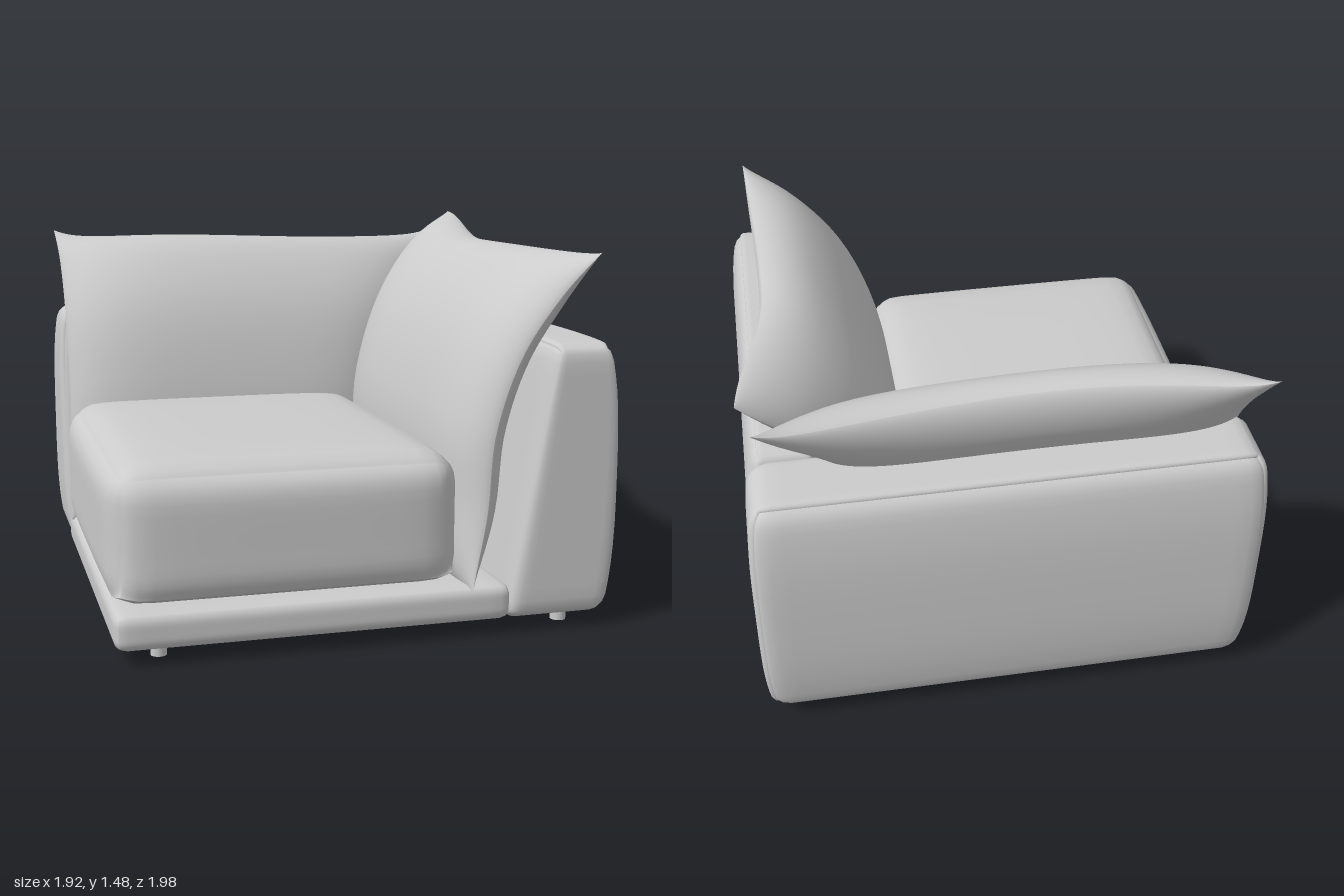
import * as THREE from 'three';
import { mergeVertices } from 'three/addons/utils/BufferGeometryUtils.js';

const material = new THREE.MeshStandardMaterial({ color: 0xcccccc, roughness: 0.9 });
const pillowMaterial = new THREE.MeshStandardMaterial({ color: 0xcccccc, roughness: 0.9, side: THREE.DoubleSide });
const smooth = THREE.MathUtils.smoothstep;

// Upholstered block with rounded edges; shape(p, u, size) adjusts each vertex, u in -1..1
function softBlock(name, min, max, radius, shape, n = 18) {
  const half = max.map((m, i) => (m - min[i]) / 2);
  const mid = max.map((m, i) => (m + min[i]) / 2);
  let geo = new THREE.BoxGeometry(2, 2, 2, n, n, n);
  geo.deleteAttribute('normal');
  geo.deleteAttribute('uv');
  geo = mergeVertices(geo, 1e-4);
  const pos = geo.attributes.position;
  const p = new THREE.Vector3(), core = new THREE.Vector3(), u = new THREE.Vector3();
  for (let i = 0; i < pos.count; i++) {
    u.fromBufferAttribute(pos, i);
    // gather rows of vertices towards the edges
    u.set(...u.toArray().map(t => Math.sin(t * Math.PI / 2)));
    p.set(u.x * half[0], u.y * half[1], u.z * half[2]);
    core.set(...p.toArray().map((c, k) => THREE.MathUtils.clamp(c, radius - half[k], half[k] - radius)));
    p.sub(core).normalize().multiplyScalar(radius).add(core);
    p.x += mid[0]; p.y += mid[1]; p.z += mid[2];
    if (shape) shape(p, u);
    pos.setXYZ(i, p.x, p.y, p.z);
  }
  geo.computeVertexNormals();
  const mesh = new THREE.Mesh(geo, material);
  mesh.name = name;
  return mesh;
}

// Leaning section of a pillow: x is the outward lean, y the height
const leanCurve = pts => new THREE.CatmullRomCurve3(pts.map(([d, y]) => new THREE.Vector3(d, y, 0)));
const sideLean = leanCurve([[0.37, 0.17], [0.43, 0.45], [0.46, 0.75], [0.56, 1.03], [0.71, 1.24], [0.85, 1.38]]);
const backLean = leanCurve([[0.46, 0.17], [0.5, 0.45], [0.54, 0.75], [0.62, 1.03], [0.75, 1.24], [0.86, 1.37]]);

// Two bulging skins that meet in a sharp seam; ends(v) gives the extent along z,
// edge(a, z) the shift [outward, up] of the top seam
function pillow(name, lean, ends, edge, thickness) {
  const group = new THREE.Group();
  group.name = name;
  const nv = 40, na = 48;
  const spread = t => (1 - Math.cos(Math.PI * t)) / 2;
  for (const sign of [1, -1]) {
    const verts = [], index = [];
    for (let i = 0; i <= nv; i++) {
      const v = spread(i / nv), V = 2 * v - 1;
      const point = lean.getPoint(v), tan = lean.getTangent(v);
      const [z0, z1] = ends(v);
      for (let j = 0; j <= na; j++) {
        const a = spread(j / na), A = 2 * a - 1;
        const z = z0 + (z1 - z0) * a;
        const puff = Math.max(0, 1 - Math.abs(A) ** 5) ** 0.65 * Math.max(0, 1 - Math.abs(V) ** 3.5) ** 0.65;
        const h = sign * puff * (sign > 0 ? thickness * 0.8 : thickness);
        const [dx, dy] = edge(a, z);
        verts.push(point.x + tan.y * h + dx * v ** 4, point.y - tan.x * h + dy * v ** 4, z);
        if (i < nv && j < na) {
          const q = i * (na + 1) + j, r = q + na + 1;
          if (sign > 0) index.push(q, r, r + 1, q, r + 1, q + 1);
          else index.push(q, r + 1, r, q, q + 1, r + 1);
        }
      }
    }
    const geo = new THREE.BufferGeometry();
    geo.setAttribute('position', new THREE.Float32BufferAttribute(verts, 3));
    geo.setIndex(index);
    geo.computeVertexNormals();
    const mesh = new THREE.Mesh(geo, pillowMaterial);
    mesh.name = name + (sign > 0 ? 'OuterSkin' : 'InnerSkin');
    group.add(mesh);
  }
  return group;
}

export function createModel() {
  const model = new THREE.Group();
  model.name = 'cornerSofaSeat';

  // Low platform under the seat
  model.add(softBlock('base', [-0.94, 0.05, -0.56], [0.53, 0.19, 0.975], 0.045));

  // Seat cushion with a crowned top and slightly swollen sides
  model.add(softBlock('seatCushion', [-0.94, 0.195, -0.5], [0.33, 0.69, 0.96], 0.12, (p, u) => {
    const bulge = (a, b) => (1 - a ** 4) * (1 - b ** 4);
    if (u.y > 0) p.y += 0.03 * u.y * bulge(u.x, u.z);
    p.x += 0.02 * u.x * bulge(u.y, u.z);
    p.z += 0.02 * u.z * bulge(u.x, u.y);
    // flatter underside with tighter lower corners
    if (u.y < 0) {
      p.x += 0.03 * u.x ** 9 * u.y ** 4;
      p.z += 0.03 * u.z ** 9 * u.y ** 4;
    }
  }));

  // Arm: inner face slopes outwards, outer face is barrelled
  model.add(softBlock('arm', [0.5, 0.05, -0.642], [0.945, 1.085, 0.98], 0.06, (p, u) => {
    const h = (p.y - 0.05) / 1.035;
    const inner = (1 - u.x) / 2, outer = (1 + u.x) / 2;
    p.x += 0.18 * h * inner + (0.01 - 0.045 * Math.abs(u.y) ** 3) * outer;
    p.y -= 0.015 * smooth(u.y, 0.5, 1) * u.z ** 4;
  }));

  // Back: same section across the full width, straight where it passes behind the arm
  model.add(softBlock('back', [-0.95, 0.045, -0.99], [0.95, 1.085, -0.5], 0.07, (p, u) => {
    const h = (p.y - 0.045) / 1.04;
    const inner = (1 + u.z) / 2, outer = (1 - u.z) / 2;
    const slope = THREE.MathUtils.lerp(0.17 * h, 0.155, smooth(p.x, 0.5, 0.62));
    p.z -= slope * inner + (0.008 - 0.05 * Math.abs(u.y) ** 3) * outer;
    p.x += u.x * (0.006 - 0.03 * Math.abs(u.y) ** 4);
  }, 24));

  // Side pillow, mitred against the back pillow
  model.add(pillow('sidePillow', sideLean,
    v => {
      const pinch = 1 - (2 * v - 1) ** 4;
      return [-backLean.getPoint(v).x - 0.05 * pinch, 0.975 - 0.02 * v - 0.02 * pinch];
    },
    (a, z) => {
      const rear = 1 - smooth(z, -0.9, 0);
      return [0.09 * rear - 0.035 * Math.sin(Math.PI * a), 0.1 * rear ** 1.2 + 0.02 * a ** 12];
    }, 0.15));

  // Back pillow, built the same way and turned a quarter
  const backPillow = pillow('backPillow', backLean,
    v => {
      const pinch = 1 - (2 * v - 1) ** 4;
      return [-0.94 + 0.015 * pinch, sideLean.getPoint(v).x + 0.05 * v + 0.05 * pinch];
    },
    (a, z) => {
      const A = 2 * a - 1;
      return [0.075 * A * A - 0.055 * (1 - A * A),
        0.045 * Math.abs(A) ** 10 + 0.012 * Math.sin(a * Math.PI * 2) - 0.005];
    }, 0.15);
  backPillow.rotation.y = Math.PI / 2;
  model.add(backPillow);

  // Four short round feet
  const footGeo = new THREE.CylinderGeometry(0.03, 0.03, 0.08, 20);
  for (const x of [-0.77, 0.77]) for (const z of [-0.77, 0.85]) {
    const foot = new THREE.Mesh(footGeo, material);
    foot.name = 'foot';
    foot.position.set(x, 0.04, z);
    model.add(foot);
  }
  return model;
}
